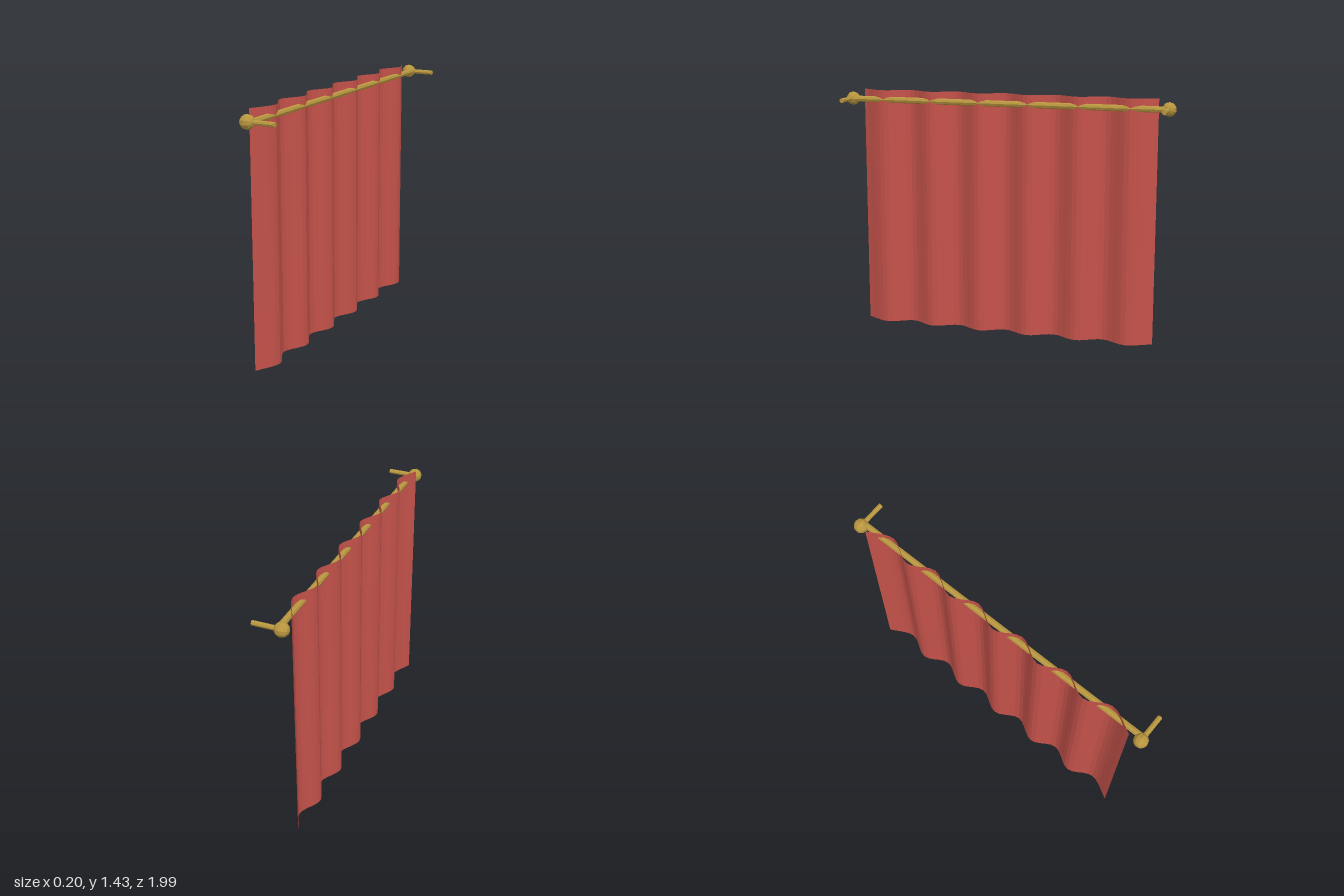
import * as THREE from 'three';

const cloth = new THREE.MeshStandardMaterial({ color: 0xc4524a, flatShading: true, side: THREE.DoubleSide });
cloth.name = 'red cloth';
const brass = new THREE.MeshStandardMaterial({ color: 0xb8963f, flatShading: true });
brass.name = 'brass';

const ROD_Y = 1.373;
const END_Z = 0.958;

function addMesh(parent, name, geometry, material) {
  const mesh = new THREE.Mesh(geometry, material);
  mesh.name = name;
  parent.add(mesh);
  return mesh;
}

// Wavy sheet: a zigzag smoothed by a spline, swept straight up
function curtainGeometry() {
  const folds = 12, halfWidth = 0.895, height = 1.43, steps = 60;
  const points = [];
  for (let i = 0; i <= folds; i++) {
    const z = -halfWidth + (2 * halfWidth * i) / folds;
    points.push(new THREE.Vector3(i % 2 ? -0.025 : -0.09, 0, z));
  }
  const path = new THREE.CatmullRomCurve3(points).getPoints(steps);
  const geometry = new THREE.PlaneGeometry(1, 1, steps, 1);
  const pos = geometry.attributes.position;
  for (let i = 0; i < pos.count; i++) {
    // reversed so the front of the sheet faces +x
    const p = path[steps - (i % (steps + 1))];
    pos.setXYZ(i, p.x, i <= steps ? height : 0, p.z);
  }
  geometry.computeVertexNormals();
  return geometry;
}

export function createModel() {
  const model = new THREE.Group();
  model.name = 'curtainOnRod';

  addMesh(model, 'curtain', curtainGeometry(), cloth);

  // Long rod running along z
  const rodGeometry = new THREE.CylinderGeometry(0.018, 0.018, 2 * END_Z, 8).rotateX(Math.PI / 2);
  addMesh(model, 'rod', rodGeometry, brass).position.set(-0.042, ROD_Y, 0);

  // Wall bracket and round knob at each end, both turned about the x axis
  const armGeometry = new THREE.CylinderGeometry(0.014, 0.014, 0.155, 8).rotateZ(Math.PI / 2);
  const knobGeometry = new THREE.SphereGeometry(0.041, 10, 6).rotateZ(Math.PI / 2);
  for (const side of [1, -1]) {
    const bracket = new THREE.Group();
    bracket.name = side > 0 ? 'frontBracket' : 'backBracket';
    bracket.position.set(0, ROD_Y, side * END_Z);
    addMesh(bracket, 'arm', armGeometry, brass).position.x = 0.0225;
    addMesh(bracket, 'knob', knobGeometry, brass).position.x = -0.062;
    model.add(bracket);
  }
  return model;
}
